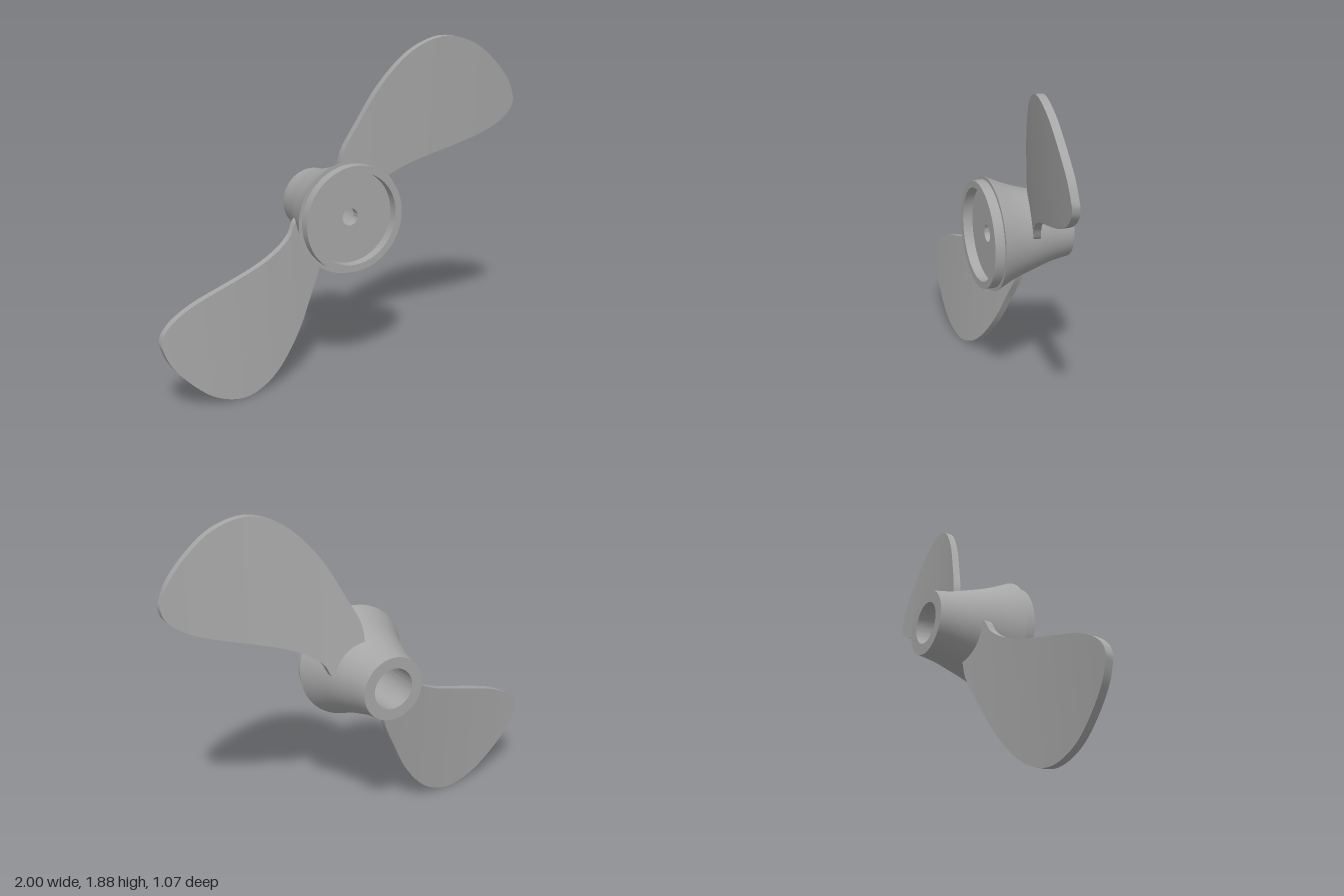
import * as THREE from 'three';
import { toCreasedNormals } from 'three/addons/utils/BufferGeometryUtils.js';

const metal = new THREE.MeshStandardMaterial({ color: 0xa6a6a6 });
metal.name = 'grey metal';

const spline = (pts) => new THREE.SplineCurve(pts.map(([x, y]) => new THREE.Vector2(x, y)));

// Hub: one closed profile of [radius, position along the shaft], front is positive
function hubGeometry() {
  const cone = spline([[0.178, -0.4], [0.195, -0.3], [0.224, -0.2], [0.267, -0.07], [0.32, 0.045]]);
  const profile = [
    [0.048, 0], [0.115, 0], [0.115, -0.4],            // rear bore
    ...cone.getPoints(16).map((p) => [p.x, p.y]),     // flared body
    [0.3, 0.045], [0.3, 0.1], [0.26, 0.1],            // front lip
    [0.26, 0.045], [0.048, 0.045], [0.048, 0],        // recess and shaft hole
  ].map(([r, h]) => new THREE.Vector2(r, h));
  const geometry = new THREE.LatheGeometry(profile, 72);
  geometry.rotateX(Math.PI / 2);
  return toCreasedNormals(geometry, 0.45);
}

// Blade: sections spanning between a lower and an upper edge, bent and pitched
function bladeGeometry() {
  const upper = spline([[0.06, 0.17], [0.075, 0.31], [0.153, 0.47], [0.26, 0.665], [0.392, 0.825],
    [0.52, 0.91], [0.658, 0.938], [0.82, 0.89], [0.957, 0.785], [1.07, 0.655], [1.118, 0.54]]);
  const lower = spline([[0.16, 0.03], [0.235, 0.03], [0.28, 0.105], [0.355, 0.165], [0.47, 0.22],
    [0.6, 0.262], [0.75, 0.305], [0.91, 0.355], [1.03, 0.415], [1.1, 0.48], [1.118, 0.54]]);
  const steps = 64, across = 12, thickness = 0.042;
  const ring = 2 * (across + 1);
  const positions = [], index = [];
  const surface = (u, y) => -0.2 + 0.28 * u - 0.11 * u * u + 0.08 * y;

  for (let i = 0; i <= steps; i++) {
    const a = lower.getPointAt(i / steps);
    const b = upper.getPointAt(i / steps);
    for (let j = 0; j < ring; j++) {
      const front = j <= across;
      const p = a.clone().lerp(b, (front ? j : ring - 1 - j) / across);
      positions.push(p.x, p.y, surface(p.x, p.y) - (front ? 0 : thickness));
    }
  }
  for (let i = 0; i < steps; i++) {
    for (let j = 0; j < ring; j++) {
      const k = (j + 1) % ring;
      const a = i * ring + j, b = a + ring, c = (i + 1) * ring + k, d = i * ring + k;
      index.push(a, b, c, a, c, d);
    }
  }
  const geometry = new THREE.BufferGeometry();
  geometry.setAttribute('position', new THREE.Float32BufferAttribute(positions, 3));
  geometry.setIndex(index);
  return toCreasedNormals(geometry, 0.6);
}

export function createModel() {
  const model = new THREE.Group();
  model.name = 'propeller';

  // Shaft frame, turned toward the model's left
  const rotor = new THREE.Group();
  rotor.name = 'rotor';
  rotor.position.y = 0.94;
  rotor.rotation.y = 0.478;
  model.add(rotor);

  const hub = new THREE.Mesh(hubGeometry(), metal);
  hub.name = 'hub';
  rotor.add(hub);

  // Two blades, half a turn apart
  const blade = bladeGeometry();
  ['upperBlade', 'lowerBlade'].forEach((name, i) => {
    const mesh = new THREE.Mesh(blade, metal);
    mesh.name = name;
    mesh.rotation.z = i * Math.PI;
    rotor.add(mesh);
  });
  return model;
}
